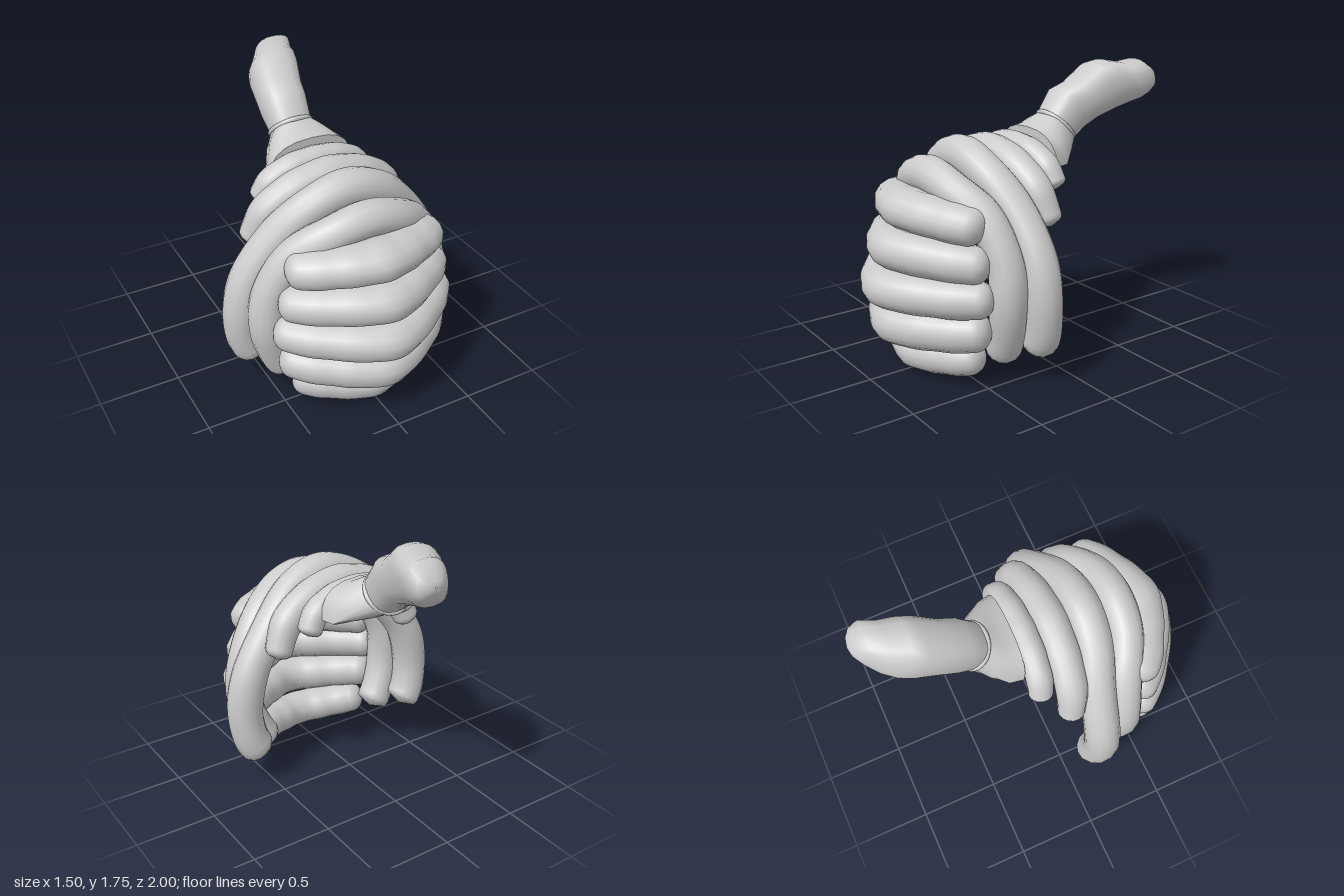
import * as THREE from 'three';
import { mergeVertices, toCreasedNormals } from 'three/addons/utils/BufferGeometryUtils.js';

const grey = new THREE.MeshStandardMaterial({ color: 0xcccccc, side: THREE.DoubleSide });

function addMesh(group, name, geometry) {
  const mesh = new THREE.Mesh(geometry, grey);
  mesh.name = name;
  group.add(mesh);
  return mesh;
}

// Tube along a half path mirrored in x, with rounded ends and a slightly lumpy surface
function ribGeometry(half, r, { cap, endScale = 1, depth = 1 }) {
  const right = half.slice(1).reverse().map(([x, y, z]) => [-x, y, z]);
  const curve = new THREE.CatmullRomCurve3([...right, ...half].map((p) => new THREE.Vector3(...p)));
  const segments = 90, sides = 14, length = curve.getLength();
  const geo = new THREE.TubeGeometry(curve, segments, r, sides);
  const pos = geo.attributes.position, v = new THREE.Vector3();
  for (let i = 0; i <= segments; i++) {
    const u = i / segments, centre = curve.getPointAt(u);
    const fromEnd = Math.min(u, 1 - u) * length;
    const k = 1 - Math.min(1, fromEnd / (cap * r));
    const taper = THREE.MathUtils.lerp(1, endScale, Math.abs(2 * u - 1) ** 3);
    const f = Math.max(0.01, Math.sqrt(1 - k * k)) * taper * (1 + 0.015 * Math.cos(u * Math.PI * 12));
    for (let j = 0; j <= sides; j++) {
      const n = i * (sides + 1) + j;
      v.fromBufferAttribute(pos, n).sub(centre).multiplyScalar(f);
      v.z *= depth;
      v.add(centre);
      pos.setXYZ(n, v.x, v.y, v.z);
    }
  }
  geo.deleteAttribute('uv');
  geo.deleteAttribute('normal');
  const merged = mergeVertices(geo, 1e-5);
  merged.computeVertexNormals();
  return merged;
}

const swell = (c) => Math.sign(c) * Math.abs(c) ** 0.8;

// Skin over tilted sections [xMin, xMax, topY, topZ, bottomY, bottomZ, flatness of the underside]
function loftGeometry(sections, sides = 20) {
  const pts = [], index = [];
  for (const [x0, x1, yt, zt, yb, zb, flat = 0] of sections) {
    for (let j = 0; j < sides; j++) {
      const t = (j / sides) * Math.PI * 2, s = swell(Math.sin(t));
      const arch = s < 0 ? -1 : 2 * s - 1;
      const h = (THREE.MathUtils.lerp(s, arch, flat) + 1) / 2;
      pts.push((x0 + x1) / 2 + ((x1 - x0) / 2) * swell(Math.cos(t)), yb + (yt - yb) * h, zb + (zt - zb) * h);
    }
  }
  for (let i = 0; i < sections.length - 1; i++) {
    for (let j = 0; j < sides; j++) {
      const a = i * sides + j, b = i * sides + ((j + 1) % sides);
      index.push(a, a + sides, b, b, a + sides, b + sides);
    }
  }
  const geo = new THREE.BufferGeometry();
  geo.setAttribute('position', new THREE.Float32BufferAttribute(pts, 3));
  geo.setIndex(index);
  return toCreasedNormals(geo, 0.9);
}

export function createModel() {
  const model = new THREE.Group();
  model.name = 'ribbedShellWithHandle';

  // Stacked horizontal ribs: half width, front z, middle y, end y, radius, depth of section
  const front = [
    [0.505, 0.87, 1.005, 0.955, 0.12, 1.3],
    [0.54, 0.95, 0.785, 0.745, 0.12, 1.1],
    [0.575, 1.0, 0.555, 0.56, 0.118, 1.1],
    [0.545, 0.95, 0.325, 0.36, 0.125, 1.1],
    [0.465, 0.8, 0.115, 0.175, 0.113, 1.1],
  ];
  const bend = [[0, 0], [0.2, 0.075], [0.4, 0.24], [0.64, 0.47], [0.85, 0.73], [1, 1]];
  front.forEach(([w, f, y, yEnd, r, depth], i) => {
    const k = w - r * 0.25, z = f - r * depth, d = z - 0.48;
    const half = bend.map(([a, b]) => [k * a, y + (yEnd - y) * b, z - d * b]);
    addMesh(model, `frontRib${i + 1}`, ribGeometry(half, r, { cap: 0.8, endScale: 0.9, depth }));
  });

  // Arched ribs, hanging down on both sides
  const arches = [
    [0.11, 1, [[0, 1.18, 0.555], [0.2, 1.13, 0.535], [0.4, 0.985, 0.445], [0.535, 0.74, 0.4], [0.55, 0.5, 0.395], [0.48, 0.27, 0.365], [0.41, 0.16, 0.35]]],
    [0.113, 1, [[0, 1.27, 0.33], [0.21, 1.205, 0.315], [0.42, 1.01, 0.25], [0.585, 0.77, 0.22], [0.64, 0.52, 0.215], [0.61, 0.31, 0.2], [0.55, 0.21, 0.195]]],
    [0.104, 0.75, [[0, 1.265, 0.125], [0.2, 1.225, 0.115], [0.39, 1.11, 0.09], [0.495, 0.9, 0.05]]],
    [0.083, 0.88, [[0, 1.277, -0.05], [0.15, 1.26, -0.055], [0.29, 1.19, -0.07], [0.36, 1.07, -0.09]]],
  ];
  arches.forEach(([r, endScale, half], i) => {
    addMesh(model, `archRib${i + 1}`, ribGeometry(half, r, { cap: 0.5, endScale }));
  });

  // Flat-bottomed hood narrowing to the neck
  addMesh(model, 'collar', loftGeometry([
    [-0.01, 0.01, 1.29, -0.12, 1.27, -0.12, 1],
    [-0.255, 0.3, 1.385, -0.12, 1.18, -0.15, 1],
    [-0.24, 0.28, 1.4, -0.18, 1.17, -0.24, 0.9],
    [-0.19, 0.21, 1.43, -0.23, 1.21, -0.35, 0.5],
    [-0.13, 0.135, 1.45, -0.27, 1.27, -0.46],
  ]));

  // Thin band around the neck
  const band = addMesh(model, 'neckBand', new THREE.TorusGeometry(0.132, 0.016, 8, 32));
  band.position.set(0, 1.36, -0.365);
  band.rotation.x = Math.PI / 4;

  // Lumpy handle leaning back and to the left
  addMesh(model, 'handle', loftGeometry([
    [-0.13, 0.13, 1.45, -0.27, 1.27, -0.46],
    [-0.145, 0.145, 1.59, -0.37, 1.33, -0.54],
    [-0.135, 0.165, 1.63, -0.47, 1.38, -0.62],
    [-0.12, 0.205, 1.735, -0.6, 1.43, -0.75],
    [-0.09, 0.225, 1.755, -0.68, 1.46, -0.84],
    [-0.03, 0.25, 1.735, -0.79, 1.49, -0.91],
    [0.02, 0.275, 1.755, -0.88, 1.53, -0.95],
    [0.07, 0.26, 1.71, -0.95, 1.56, -0.975],
    [0.11, 0.22, 1.67, -0.985, 1.6, -0.995],
    [0.16, 0.17, 1.64, -1.0, 1.63, -1.0],
  ]));

  return model;
}
